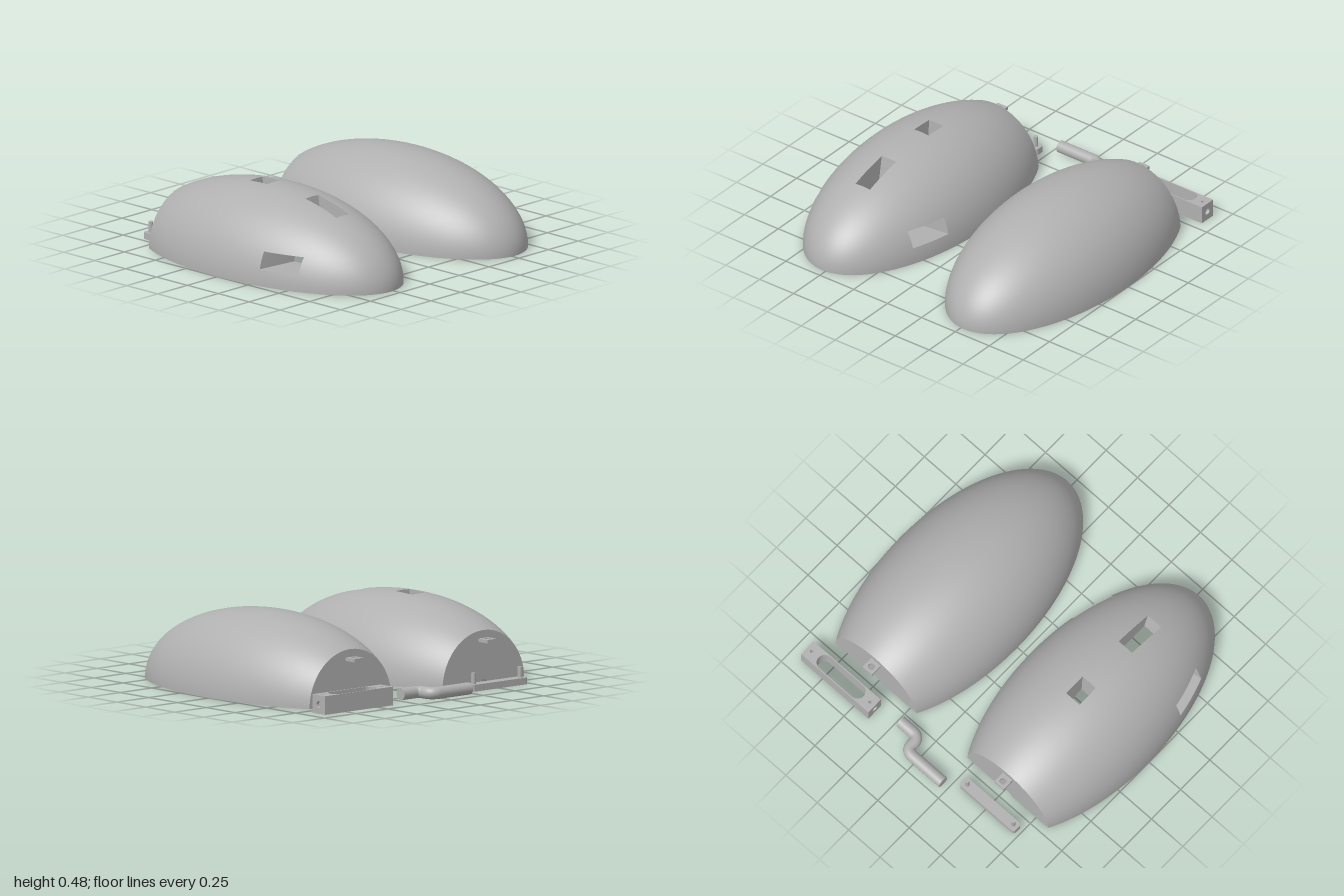
import * as THREE from 'three';

const R = 0.4765, L = 0.948, BACK = -0.7;          // half-ellipsoid radius, nose length, cut plane
const PW = 0.18, PH = 0.27, PF = 0.66, PB = -0.63; // pocket half width, height, front, back
const NOTCH = 0.03;
const TW = 0.053, Y0 = 0.1, Y1 = 0.2;              // window sizes
const FRONT = [0.31, 0.56], REAR = [-0.14, 0];
const FRONT_IN = [0.34, 0.53], REAR_IN = [-0.132, -0.008];

const radiusAt = z => R * Math.sqrt(Math.max(0, 1 - (z / L) ** 2));

// Splits each interval of a breakpoint list into steps, remembering the band
function subdivide(stops, counts) {
  const out = [];
  counts.forEach((n, band) => {
    for (let i = 0; i < n; i++) out.push({ v: THREE.MathUtils.lerp(stops[band], stops[band + 1], i / n), band });
  });
  out.push({ v: stops[stops.length - 1], band: counts.length });
  return out;
}

const toShape = pts => new THREE.Shape(pts.map(p => new THREE.Vector2(...p)));
const rect = (a0, a1, b0, b1) => [[a0, b0], [a1, b0], [a1, b1], [a0, b1]];
const circle = (x, y, r) => new THREE.Path().absarc(x, y, r, 0, Math.PI * 2, true);

// Smooth outer skin with optional window openings
function skin(windows) {
  const rows = subdivide([BACK, REAR[0], REAR[1], FRONT[0], FRONT[1], L].map(z => Math.asin(z / L)), [16, 5, 8, 8, 20]);
  const pos = [], nor = [], idx = [];
  let n = 0;
  rows.forEach((row, i) => {
    const z = L * Math.sin(row.v), r = radiusAt(z), re = Math.max(r, 0.3);
    const a = Math.asin(Y0 / re), b = Math.asin(Y1 / re), c = Math.acos(TW / re);
    const cols = subdivide([0, a, b, c, Math.PI - c, Math.PI - b, Math.PI - a, Math.PI], [5, 5, 14, 6, 14, 5, 5]);
    n = cols.length;
    cols.forEach((col, j) => {
      const x = r * Math.cos(col.v), y = r * Math.sin(col.v);
      pos.push(x, y, z);
      nor.push(...new THREE.Vector3(x / R ** 2, y / R ** 2, z / L ** 2).normalize().toArray());
      const open = windows && ((row.band === 3 && [1, 3, 5].includes(col.band)) || (row.band === 1 && col.band === 3));
      if (i === rows.length - 1 || j === n - 1 || open) return;
      const p = i * n + j, q = p + n;
      idx.push(p, p + 1, q, p + 1, q + 1, q);
    });
  });
  const g = new THREE.BufferGeometry();
  g.setAttribute('position', new THREE.Float32BufferAttribute(pos, 3));
  g.setAttribute('normal', new THREE.Float32BufferAttribute(nor, 3));
  g.setIndex(idx);
  return g;
}

// Flat panel from a 2D outline, placed in space by a mapping rule
function panel(pts, map, holes = []) {
  const shape = toShape(pts);
  holes.forEach(h => shape.holes.push(new THREE.Path(h.map(p => new THREE.Vector2(...p)))));
  const g = new THREE.ShapeGeometry(shape);
  const p = g.attributes.position;
  for (let i = 0; i < p.count; i++) p.setXYZ(i, ...map(p.getX(i), p.getY(i)));
  g.computeVertexNormals();
  return g;
}

// Walls of a window, lofted from the curved skin to the pocket
function tunnel(outer, inner, onSkin, onPocket, N = 8) {
  const perimeter = ([u0, u1, v0, v1]) => {
    const c = rect(u0, u1, v0, v1), out = [];
    for (let s = 0; s < 4; s++) for (let i = 0; i < N; i++) {
      const p = c[s], q = c[(s + 1) % 4], t = i / N;
      out.push([p[0] + (q[0] - p[0]) * t, p[1] + (q[1] - p[1]) * t]);
    }
    return out;
  };
  const A = perimeter(outer).map(p => onSkin(...p)), B = perimeter(inner).map(p => onPocket(...p));
  const pos = [];
  A.forEach((a, i) => {
    const k = (i + 1) % A.length;
    pos.push(...a, ...A[k], ...B[i], ...A[k], ...B[k], ...B[i]);
  });
  const g = new THREE.BufferGeometry();
  g.setAttribute('position', new THREE.Float32BufferAttribute(pos, 3));
  g.computeVertexNormals();
  return g;
}

// Horizontal slab: outline in x and z, lying between y = 0 and its height
function slab(shape, height) {
  const g = new THREE.ExtrudeGeometry(shape, { depth: height, bevelEnabled: false, curveSegments: 20 });
  return g.rotateX(Math.PI / 2).translate(0, height, 0);
}

export function createModel() {
  const model = new THREE.Group();
  const grey = new THREE.MeshStandardMaterial({ color: 0xb0b0b0, side: THREE.DoubleSide });
  grey.name = 'plain grey';
  const add = (parent, name, geo) => {
    const m = new THREE.Mesh(geo, grey);
    m.name = name;
    parent.add(m);
    return m;
  };

  // Half shell: skin, floor, back wall, pocket and hinge tab
  function halfShell(name, x, windows) {
    const g = new THREE.Group();
    g.name = name;
    g.position.x = x;
    add(g, 'skin', skin(windows));

    const rim = [], a0 = Math.asin(BACK / L);
    for (let i = 0; i <= 96; i++) {
      const a = THREE.MathUtils.lerp(a0, Math.PI - a0, i / 96);
      rim.push([R * Math.cos(a), L * Math.sin(a)]);
    }
    add(g, 'floor', panel([...rim, [-NOTCH, BACK], [-NOTCH, PB], [-PW, PB], [-PW, PF], [PW, PF], [PW, PB],
      [NOTCH, PB], [NOTCH, BACK]], (u, v) => [u, 0, v]));

    const arc = (r, n) => Array.from({ length: n + 1 }, (_, i) => [r * Math.cos(Math.PI * i / n), r * Math.sin(Math.PI * i / n)]);
    const notch = arc(NOTCH, 12).reverse();
    add(g, 'backWall', panel([...arc(radiusAt(BACK), 58), ...notch], (u, v) => [u, v, BACK]));
    add(g, 'pocketBack', panel([[PW, 0], [PW, PH], [-PW, PH], [-PW, 0], ...notch], (u, v) => [u, v, PB]));
    add(g, 'pocketFront', panel(rect(-PW, PW, 0, PH), (u, v) => [u, v, PF]));
    add(g, 'axleNotch', new THREE.CylinderGeometry(NOTCH, NOTCH, PB - BACK, 12, 1, true, Math.PI / 2, Math.PI)
      .rotateX(Math.PI / 2).translate(0, 0, (PB + BACK) / 2));

    const topHoles = windows ? [rect(-TW, TW, ...FRONT_IN), rect(-TW, TW, ...REAR_IN)] : [];
    add(g, 'pocketCeiling', panel(rect(-PW, PW, PB, PF), (u, v) => [u, PH, v], topHoles));
    for (const s of [-1, 1]) {
      add(g, 'pocketSide', panel(rect(0, PH, PB, PF), (u, v) => [s * PW, u, v], windows ? [rect(Y0, Y1, ...FRONT_IN)] : []));
      if (windows) add(g, 'sideWindow', tunnel([Y0, Y1, ...FRONT], [Y0, Y1, ...FRONT_IN],
        (y, z) => [s * Math.sqrt(radiusAt(z) ** 2 - y * y), y, z], (y, z) => [s * PW, y, z]));
    }
    if (windows) for (const [out, inn] of [[FRONT, FRONT_IN], [REAR, REAR_IN]])
      add(g, 'topWindow', tunnel([-TW, TW, ...out], [-TW, TW, ...inn],
        (u, z) => [u, Math.sqrt(radiusAt(z) ** 2 - u * u), z], (u, z) => [u, PH, z]));

    const tab = toShape(rect(-0.037, 0.037, -0.775, BACK + 0.005));
    tab.holes.push(circle(0, -0.74, 0.02));
    add(g, 'hingeTab', slab(tab, 0.02)).position.y = 0.255;
    model.add(g);
  }
  halfShell('windowedShell', -0.5235, true);
  halfShell('plainShell', 0.5235, false);

  // Pin plate with rounded corners and two pins
  const pinPlate = new THREE.Group();
  pinPlate.name = 'pinPlate';
  const w = 0.2175, h = 0.0335, r = 0.018;
  const plate = new THREE.Shape();
  [[w - r, h - r, 0], [r - w, h - r, 1], [r - w, r - h, 2], [w - r, r - h, 3]].forEach(([x, y, q]) =>
    plate.absarc(x, y, r, q * Math.PI / 2, (q + 1) * Math.PI / 2, false));
  add(pinPlate, 'plate', slab(plate, 0.04));
  for (const s of [-1, 1])
    add(pinPlate, 'pin', new THREE.CylinderGeometry(0.014, 0.014, 0.07, 20)).position.set(s * 0.183, 0.07, 0);
  pinPlate.position.set(-0.508, 0, -0.833);
  model.add(pinPlate);

  // Cranked rod with two rounded bends
  const P = (x, z) => new THREE.Vector3(x, 0.036, z);
  const path = new THREE.CurvePath();
  path.add(new THREE.LineCurve3(P(-0.212, -0.919), P(0.03, -0.919)));
  path.add(new THREE.QuadraticBezierCurve3(P(0.03, -0.919), P(0.08, -0.919), P(0.08, -0.869)));
  path.add(new THREE.QuadraticBezierCurve3(P(0.08, -0.859), P(0.08, -0.809), P(0.13, -0.809)));
  path.add(new THREE.LineCurve3(P(0.13, -0.809), P(0.227, -0.809)));
  add(model, 'crankRod', new THREE.TubeGeometry(path, 80, 0.036, 24));
  for (const [x, z, s] of [[-0.212, -0.919, -1], [0.227, -0.809, 1]])
    add(model, 'rodEnd', new THREE.CircleGeometry(0.036, 24).rotateY(s * Math.PI / 2)).position.set(x, 0.036, z);

  // Slotted bar with screw holes and bored ends
  const bar = new THREE.Group();
  bar.name = 'slottedBar';
  const body = toShape(rect(-0.247, 0.247, -0.0535, 0.0535));
  const slot = new THREE.Path();
  slot.absarc(0.13, 0, 0.047, -Math.PI / 2, Math.PI / 2, false);
  slot.absarc(-0.13, 0, 0.047, Math.PI / 2, Math.PI * 1.5, false);
  body.holes.push(slot, circle(-0.232, 0, 0.01), circle(0.232, 0, 0.01));
  add(bar, 'barBody', slab(body, 0.11));
  const end = toShape(rect(-0.0535, 0.0535, 0, 0.11));
  end.holes.push(circle(0, 0.055, 0.02));
  for (const s of [-1, 1])
    add(bar, 'boredEnd', new THREE.ExtrudeGeometry(end, { depth: 0.02, bevelEnabled: false, curveSegments: 20 })
      .rotateY(s * Math.PI / 2)).position.x = s * 0.247;
  bar.position.set(0.652, 0, -0.8625);
  model.add(bar);

  return model;
}
